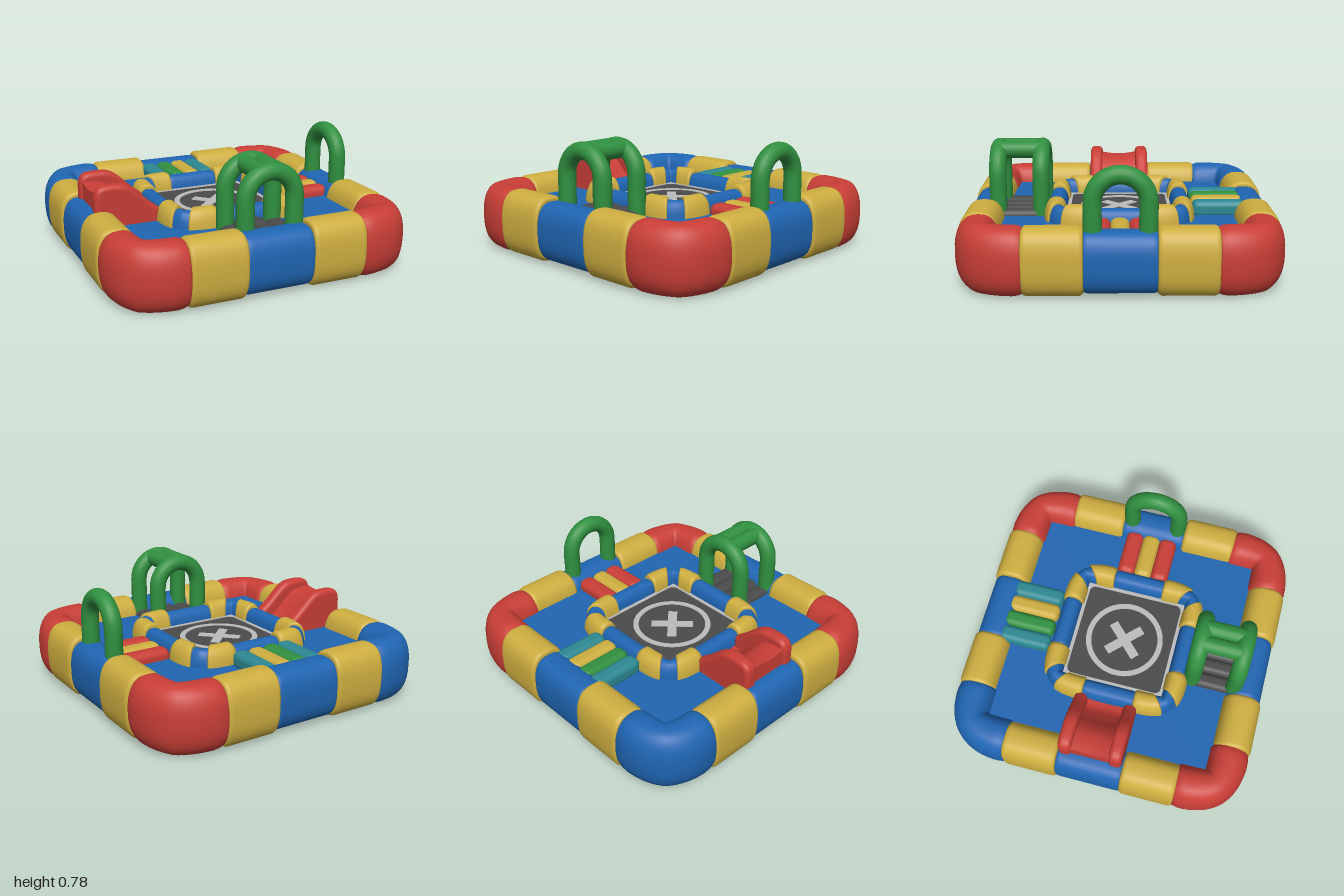
import * as THREE from 'three';
import { RoundedBoxGeometry } from 'three/addons/geometries/RoundedBoxGeometry.js';

const mat = (name, color) => {
  const m = new THREE.MeshStandardMaterial({ color });
  m.name = name;
  return m;
};

// Closed inflated cushion swept between an inner and an outer plan curve.
// inner(t), outer(t) give [x, z]; the section is a superellipse, pinched at both ends.
function cushion(inner, outer, y0, y1, steps, power, pinch = 0.9) {
  const stations = [[0, 0], [0, pinch], [0.015, 0.4 + pinch * 0.6], [0.04, 0.8 + pinch * 0.2], [0.08, 1]];
  for (let i = 1; i < steps; i++) stations.push([0.08 + (0.84 * i) / steps, 1]);
  stations.push([0.92, 1], [0.96, 0.8 + pinch * 0.2], [0.985, 0.4 + pinch * 0.6], [1, pinch], [1, 0]);
  const sides = 36, pos = [], idx = [];
  const sp = (v) => Math.sign(v) * Math.abs(v) ** (2 / power);
  for (const [t, s] of stations) {
    const a = inner(t), b = outer(t);
    for (let j = 0; j < sides; j++) {
      const ang = (j / sides) * Math.PI * 2;
      const w = 0.5 + 0.5 * s * sp(Math.cos(ang));
      pos.push(a[0] + (b[0] - a[0]) * w,
        (y0 + y1) / 2 + ((y1 - y0) / 2) * s * sp(Math.sin(ang)),
        a[1] + (b[1] - a[1]) * w);
    }
  }
  for (let i = 0; i < stations.length - 1; i++) {
    for (let j = 0; j < sides; j++) {
      const k = (j + 1) % sides;
      const a = i * sides + j, b = i * sides + k, c = a + sides, d = b + sides;
      idx.push(a, c, b, b, c, d);
    }
  }
  const g = new THREE.BufferGeometry();
  g.setAttribute('position', new THREE.Float32BufferAttribute(pos, 3));
  g.setIndex(idx);
  g.computeVertexNormals();
  return g;
}

// Straight cushion along x on the +z side
const straight = (x0, x1, zi, zo, y0, y1) => cushion(
  (t) => [x0 + (x1 - x0) * t, zi], (t) => [x0 + (x1 - x0) * t, zo], y0, y1, 4, 2.7);

// Corner cushion in the +x +z quadrant, mitred inside and rounded outside
function corner(c, ri, ro, n, y0, y1, t0 = 0, t1 = 1) {
  const at = (t) => t0 + (t1 - t0) * t;
  return cushion(
    (t) => [c + (ri - c) * Math.min(1, 2 * at(t)), c + (ri - c) * Math.min(1, 2 - 2 * at(t))],
    (t) => {
      const a = (at(t) * Math.PI) / 2, e = 2 / n;
      return [c + (ro - c) * Math.max(0, Math.sin(a)) ** e, c + (ro - c) * Math.max(0, Math.cos(a)) ** e];
    }, y0, y1, 16, 2.45);
}

export function createModel() {
  const blue = mat('blue', 0x1f65b2), yellow = mat('yellow', 0xceae40);
  const red = mat('red', 0xc83e36), green = mat('green', 0x309040);
  const teal = mat('teal', 0x2c8892), dark = mat('darkGrey', 0x4a4a4a);
  const light = mat('lightGrey', 0xbcbcbc), grey = mat('midGrey', 0x6c6c6c);
  const navy = mat('navy', 0x35587c);

  const model = new THREE.Group();
  model.name = 'inflatablePlayground';
  const add = (name, geo, material, x = 0, y = 0, z = 0, parent = model) => {
    const m = new THREE.Mesh(geo, material);
    m.name = name;
    m.position.set(x, y, z);
    parent.add(m);
    return m;
  };

  // Four turned sides: outer wall, inner wall, underside frame and underside floor panel
  const panel = new RoundedBoxGeometry(0.56, 0.12, 0.56, 4, 0.03);
  for (let i = 0; i < 4; i++) {
    const side = new THREE.Group();
    side.name = 'side' + (i + 1);
    side.rotation.y = (i * Math.PI) / 2;
    model.add(side);
    const put = (name, geo, m) => add(name, geo, m, 0, 0, 0, side);
    put('outerWallMiddle', straight(-0.225, 0.225, 0.745, 0.99, 0.02, 0.395), blue);
    put('outerWallLeft', straight(0.215, 0.575, 0.74, 1, 0.005, 0.42), yellow);
    put('outerWallRight', straight(-0.575, -0.215, 0.74, 1, 0.005, 0.42), yellow);
    put('outerWallCorner', corner(0.56, 0.73, 1, 2.65, 0, 0.42), i === 2 ? blue : red);
    put('innerWallMiddle', straight(-0.18, 0.18, 0.345, 0.475, 0.12, 0.4), blue);
    put('innerWallCuffA', corner(0.17, 0.335, 0.488, 3, 0.12, 0.425, 0, 0.35), yellow);
    put('innerWallCorner', corner(0.17, 0.34, 0.478, 3, 0.12, 0.405, 0.31, 0.69), blue);
    put('innerWallCuffB', corner(0.17, 0.335, 0.488, 3, 0.12, 0.425, 0.65, 1), yellow);
    put('baseFrameBar', straight(-0.2, 0.2, 0.315, 0.46, 0.03, 0.13), grey);
    put('baseFrameCorner', corner(0.18, 0.315, 0.46, 3, 0.03, 0.13), grey);
    add('floorPanelUnderside', panel, navy, 0.5, 0.108, 0.5, side);
  }

  // Floor, with a recessed underside between the panels
  add('floor', new THREE.BoxGeometry(1.58, 0.18, 1.58), blue, 0, 0.21, 0);
  add('floorUnderside', new THREE.BoxGeometry(1.56, 0.008, 1.56), navy, 0, 0.116, 0);
  add('slideUnderside', new THREE.BoxGeometry(0.36, 0.008, 0.46), dark, -0.6, 0.08, 0);

  // Trampoline mat with its painted border, circle and cross
  add('trampolineMat', new THREE.BoxGeometry(0.7, 0.25, 0.7), dark, 0, 0.185, 0);
  const plate = (name, shape) => {
    const g = new THREE.ExtrudeGeometry(shape, { depth: 0.006, bevelEnabled: false, curveSegments: 40 });
    g.rotateX(-Math.PI / 2);
    return add(name, g, light, 0, 0.309, 0);
  };
  const border = new THREE.Shape();
  border.moveTo(-0.348, -0.348).lineTo(0.348, -0.348).lineTo(0.348, 0.348).lineTo(-0.348, 0.348);
  const hole = new THREE.Path(), h = 0.324, r = 0.04;
  hole.absarc(h - r, h - r, r, 0, Math.PI / 2);
  hole.absarc(r - h, h - r, r, Math.PI / 2, Math.PI);
  hole.absarc(r - h, r - h, r, Math.PI, Math.PI * 1.5);
  hole.absarc(h - r, r - h, r, Math.PI * 1.5, Math.PI * 2);
  border.holes.push(hole);
  plate('matBorder', border);
  const disc = new THREE.Shape().absarc(0, 0, 0.262, 0, Math.PI * 2);
  disc.holes.push(new THREE.Path().absarc(0, 0, 0.226, 0, Math.PI * 2));
  plate('matCircle', disc).position.x = -0.006;
  const a = 0.031, b = 0.142, cross = new THREE.Shape();
  cross.setFromPoints([[a, a], [a, b], [-a, b], [-a, a], [-b, a], [-b, -a], [-a, -a], [-a, -b],
    [a, -b], [a, -a], [b, -a], [b, a]].map(([x, y]) => new THREE.Vector2(x, y)));
  const mark = plate('matCross', cross);
  mark.rotation.y = Math.PI / 4;
  mark.position.x = -0.01;

  // Bridge rollers: coloured at the back and right, grey at the front, ribs underneath
  const rollBack = new RoundedBoxGeometry(0.112, 0.112, 0.35, 4, 0.04);
  const rollFront = new RoundedBoxGeometry(0.106, 0.112, 0.35, 4, 0.04);
  const rollRight = new RoundedBoxGeometry(0.33, 0.112, 0.122, 4, 0.045);
  const rib = new RoundedBoxGeometry(0.1, 0.08, 0.33, 4, 0.036);
  [teal, green, yellow, teal].forEach((m, i) => {
    const x = -0.175 + i * 0.112;
    add('backRoller', rollBack, m, x, 0.335, -0.65);
    add('frontRoller', rollFront, dark, -0.148 + i * 0.106, 0.282, 0.63);
    add('backRib', rib, grey, x, 0.1, -0.58);
    add('frontRib', rib, grey, x, 0.1, 0.58);
  });
  [red, yellow, red].forEach((m, i) => add('rightRoller', rollRight, m, 0.63, 0.31, (i - 1) * 0.118));

  // Arches, open to the z axis unless turned
  const R = 0.163;
  const pts = [[-R, 0.22], [-R, 0.34], [-R, 0.46]];
  for (let i = 0; i <= 12; i++) {
    const t = Math.PI * (1 - i / 12);
    pts.push([R * Math.cos(t), 0.557 + R * Math.sin(t)]);
  }
  pts.push([R, 0.46], [R, 0.34], [R, 0.22]);
  const archCurve = new THREE.CatmullRomCurve3(pts.map(([x, y]) => new THREE.Vector3(x, y, 0)));
  const arch = new THREE.TubeGeometry(archCurve, 64, 0.056, 18, false);
  add('frontArchOuter', arch, green, 0.01, 0, 0.79);
  add('frontArchInner', arch, green, 0.01, 0, 0.51);
  add('rightArch', arch, green, 0.86, 0, 0).rotation.y = Math.PI / 2;
  // Beams joining the two front arches
  for (const s of [-1, 1]) {
    add('archBeam', new THREE.CylinderGeometry(0.056, 0.056, 0.28, 18), green, 0.013 + s * 0.053, 0.71, 0.65)
      .rotation.x = Math.PI / 2;
  }

  // Slide: hollowed chute bed between two puffy side walls
  const vecs = (list) => list.map(([x, y]) => new THREE.Vector2(x, y));
  const bedShape = new THREE.Shape();
  bedShape.moveTo(-0.87, 0.27).lineTo(-0.47, 0.27).lineTo(-0.47, 0.32);
  bedShape.splineThru(vecs([[-0.53, 0.33], [-0.6, 0.385], [-0.67, 0.455], [-0.73, 0.495], [-0.8, 0.51], [-0.87, 0.51]]));
  const bed = new THREE.ExtrudeGeometry(bedShape, { depth: 0.32, steps: 12, bevelEnabled: false });
  const p = bed.attributes.position;
  for (let i = 0; i < p.count; i++) {
    const v = (p.getZ(i) - 0.16) / 0.12;
    if (p.getY(i) > 0.3) p.setY(i, p.getY(i) - 0.014 * Math.max(0, 1 - v * v));
  }
  bed.computeVertexNormals();
  add('slideBed', bed, red, 0, 0, -0.16);
  const wallShape = new THREE.Shape();
  wallShape.moveTo(-0.855, 0.28).lineTo(-0.495, 0.28).lineTo(-0.495, 0.365);
  wallShape.splineThru(vecs([[-0.54, 0.4], [-0.6, 0.455], [-0.65, 0.5], [-0.7, 0.527], [-0.76, 0.532],
    [-0.82, 0.53], [-0.847, 0.515], [-0.855, 0.48]]));
  const wall = new THREE.ExtrudeGeometry(wallShape,
    { depth: 0.024, bevelThickness: 0.032, bevelSize: 0.032, bevelSegments: 8, curveSegments: 24 });
  for (const z of [-0.182, 0.15]) add('slideWall', wall, red, 0, 0, z);

  return model;
}
